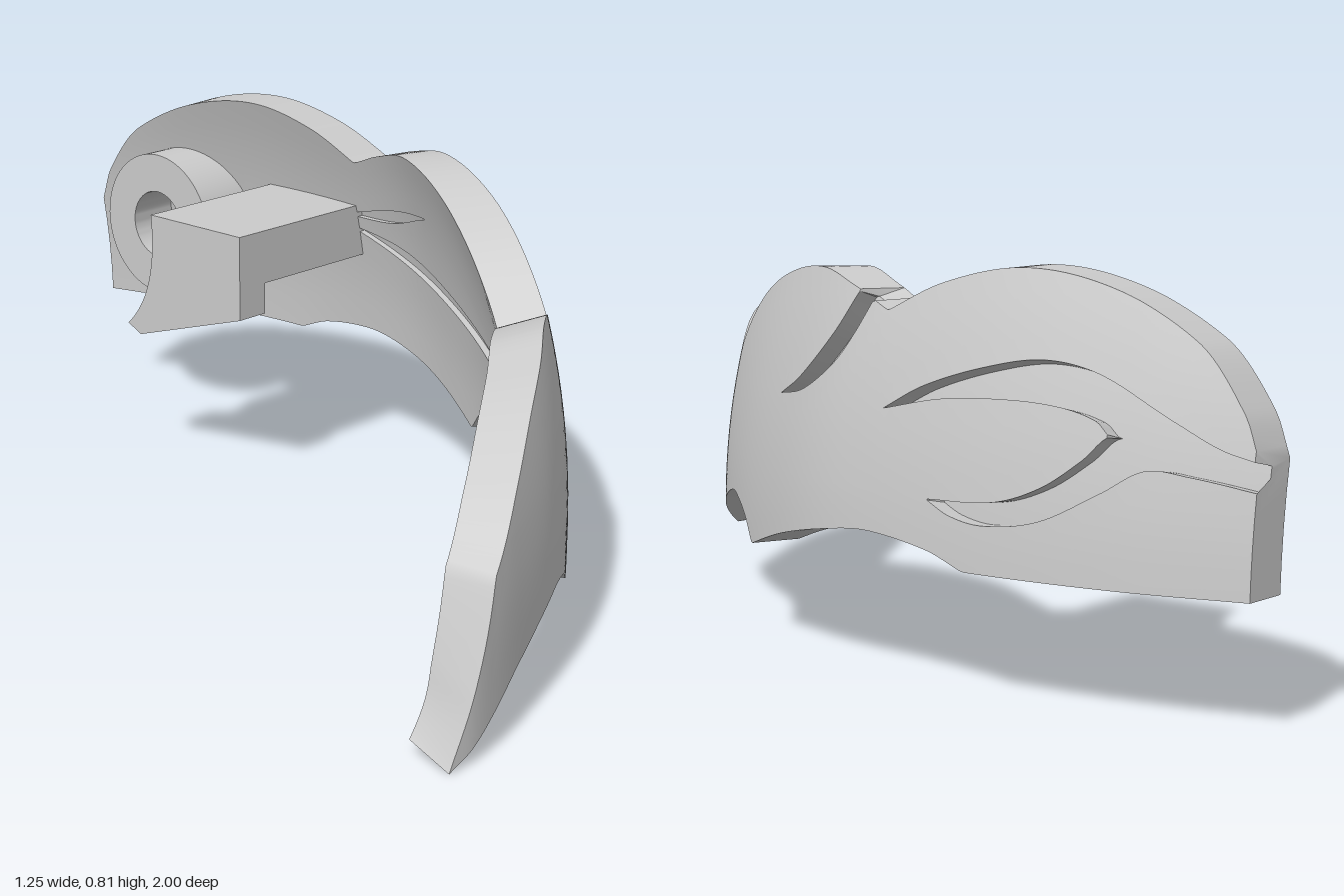
import * as THREE from 'three';
import { toCreasedNormals } from 'three/addons/utils/BufferGeometryUtils.js';

const THICK = 0.1, OUTER_CUT = 0.04, INNER_CUT = 0.015, COLS = 300, SUB = 4;
const material = new THREE.MeshStandardMaterial({ color: 0xcccccc });
const { clamp, lerp, smoothstep } = THREE.MathUtils;

// Smooth curve through [key, value] points, keys running downwards
function along(pts, key) {
  const k = clamp(key, pts[pts.length - 1][0], pts[0][0]);
  let i = 0;
  while (i < pts.length - 2 && k < pts[i + 1][0]) i++;
  const slope = (j) => {
    const a = pts[Math.max(j - 1, 0)], b = pts[Math.min(j + 1, pts.length - 1)];
    return (b[1] - a[1]) / (b[0] - a[0]);
  };
  const [x0, y0] = pts[i], [x1, y1] = pts[i + 1];
  const h = x1 - x0, t = (k - x0) / h, t2 = t * t, t3 = t2 * t;
  return (2 * t3 - 3 * t2 + 1) * y0 + (t3 - 2 * t2 + t) * h * slope(i)
    + (3 * t2 - 2 * t3) * y1 + (t3 - t2) * h * slope(i + 1);
}

// The arc that meets the key: separate arcs keep the corners between them sharp
const scallop = (arcs, key) => along(arcs.find((a) => key >= a[a.length - 1][0]) || arcs[arcs.length - 1], key);

// Sweep of the plate seen from above: [x, z]
const plan = new THREE.CatmullRomCurve3([
  [-0.63, 0.995], [-0.57, 1], [-0.5, 0.99], [-0.4, 0.962], [-0.2, 0.885], [-0.025, 0.78], [0.19, 0.605], [0.37, 0.39],
  [0.49, 0.19], [0.57, 0], [0.61, -0.2], [0.623, -0.45], [0.59, -0.75], [0.525, -1],
].map(([x, z]) => new THREE.Vector3(x, 0, z)));

// Scalloped edges, keyed by z - x along the sweep
const topArcs = [
  [[1.625, 0], [1.49, 0.33]],
  [[1.49, 0.33], [1.33, 0.455], [1.155, 0.555], [0.95, 0.608], [0.785, 0.628], [0.555, 0.603], [0.415, 0.555]],
  [[0.415, 0.555], [0.12, 0.69], [-0.15, 0.755], [-0.4, 0.775], [-0.63, 0.745], [-0.765, 0.71]],
  [[-0.765, 0.71], [-0.92, 0.77], [-1.12, 0.805], [-1.3, 0.775], [-1.43, 0.69], [-1.5, 0.57], [-1.525, 0.49]],
];
const bottomArcs = [
  [[1.625, 0], [1.5, 0.068], [1.365, 0.122], [1.085, 0.18], [0.925, 0.165], [0.805, 0.12]],
  [[0.805, 0.12], [0.555, 0.18], [0.29, 0.245], [0.11, 0.277], [0.02, 0.272], [-0.085, 0.245], [-0.165, 0.195]],
  [[-0.165, 0.195], [-0.43, 0.25], [-0.695, 0.29], [-0.81, 0.297], [-0.97, 0.28], [-1.06, 0.25]],
  [[-1.06, 0.25], [-1.525, 0.25]],
];

// Leaf-shaped grooves, keyed by z: lower and upper edge
const sideLeaf = {
  lo: [[0.18, 0.52], [0.08, 0.54], [-0.02, 0.6], [-0.07, 0.66], [-0.12, 0.75]],
  hi: [[0.18, 0.52], [0.1, 0.565], [0, 0.66], [-0.07, 0.76], [-0.12, 0.78]],
};
const upperLeaf = {
  lo: [[-0.2, 0.53], [-0.35, 0.56], [-0.5, 0.57], [-0.62, 0.565], [-0.7, 0.545], [-0.73, 0.52], [-0.8, 0.5], [-1, 0.465]],
  hi: [[-0.2, 0.53], [-0.3, 0.58], [-0.45, 0.625], [-0.58, 0.645], [-0.7, 0.625], [-0.85, 0.55], [-0.93, 0.51], [-1, 0.49]],
};
const lowerLeaf = {
  lo: [[-0.34, 0.375], [-0.4, 0.35], [-0.48, 0.34], [-0.6, 0.36], [-0.72, 0.42], [-0.8, 0.465], [-0.88, 0.46], [-1, 0.44]],
  hi: [[-0.34, 0.375], [-0.5, 0.385], [-0.6, 0.42], [-0.68, 0.475], [-0.73, 0.52], [-0.8, 0.5], [-1, 0.465]],
};
const thinLeaf = (pts, width) => ({
  lo: pts,
  hi: pts.map(([k, y], i) => [k, y + (i > 0 && i < pts.length - 1 ? width : 0)]),
});
// Closed stretch that leads from one leaf to the next
const bridge = (...pts) => ({ lo: pts, hi: pts });
const outerBands = [[lowerLeaf], [sideLeaf, bridge([-0.12, 0.75], [-0.2, 0.53]), upperLeaf]];
const innerBands = [
  [thinLeaf([[0.8, 0.35], [0.5, 0.39], [0.3, 0.425], [0, 0.49], [-0.25, 0.55]], 0.035)],
  [
    thinLeaf([[0.68, 0.51], [0.57, 0.485], [0.46, 0.45]], 0.03),
    bridge([0.46, 0.45], [0.15, 0.64]),
    thinLeaf([[0.15, 0.64], [-0.05, 0.585], [-0.25, 0.57]], 0.03),
  ],
];

function bandAt(leaves, z) {
  const gap = ({ lo }) => Math.max(z - lo[0][0], lo[lo.length - 1][0] - z, 0);
  const leaf = leaves.reduce((a, b) => (gap(b) < gap(a) ? b : a));
  return [along(leaf.lo, z), along(leaf.hi, z)];
}

// Rows [y, depth] up one face of the plate, doubled at each groove wall
function faceRows(bands, z, b, t, cut) {
  const stops = [b];
  for (const band of bands) for (const y of bandAt(band, z)) stops.push(clamp(y, stops[stops.length - 1], t));
  stops.push(t);
  const open = (i) => stops[i + 1] - stops[i] > 0.002;
  const joined = open(1) && open(3) && !open(2);
  const notched = open(3) && !open(4);
  const depth = [0, open(1) ? cut : 0, joined ? cut : 0, open(3) ? cut : 0, notched ? cut : 0];
  const rows = [];
  for (let s = 0; s < 5; s++) {
    for (let j = 0; j <= SUB; j++) rows.push([lerp(stops[s], stops[s + 1], j / SUB), depth[s]]);
  }
  return rows;
}

// Inward lean of the plate with height
const lean = (y) => 0.115 * (Math.max(y - 0.2, 0) / 0.6) ** 2;

function plateGeometry() {
  const loops = [];
  for (let i = 0; i <= COLS; i++) {
    const p = plan.getPointAt(i / COLS), tan = plan.getTangentAt(i / COLS);
    const key = p.z - p.x;
    const b = scallop(bottomArcs, key), t = Math.max(scallop(topArcs, key), b);
    // The rear end is cut square; the inner face narrows towards the front
    const tx = tan.x * smoothstep(key, -1.52, -1.2);
    const narrow = 0.1 * smoothstep(key, -0.5, 0.6);
    const place = (y, inset, drop) =>
      new THREE.Vector3(p.x + tan.z * (lean(y) + inset), y - drop, p.z - tx * (lean(y) + inset));
    const outer = faceRows(outerBands, p.z, b, t, OUTER_CUT)
      .map(([y, d]) => place(y, d, d * 0.64 * Math.max(y - 0.2, 0)));
    const inner = faceRows(innerBands, p.z, b, t, INNER_CUT)
      .map(([y, d]) => place(y, THICK - d, narrow * (y - 0.3)));
    loops.push([...outer, ...inner.reverse()]);
  }
  const pos = [], ab = new THREE.Vector3(), ac = new THREE.Vector3();
  const tri = (a, b, c) => {
    if (ab.subVectors(b, a).cross(ac.subVectors(c, a)).length() < 1e-9) return;
    pos.push(...a.toArray(), ...b.toArray(), ...c.toArray());
  };
  const quad = (a, b, c, d) => { tri(a, b, c); tri(a, c, d); };
  const n = loops[0].length;
  for (let i = 0; i < COLS; i++) {
    for (let j = 0; j < n; j++) {
      const k = (j + 1) % n;
      quad(loops[i][j], loops[i + 1][j], loops[i + 1][k], loops[i][k]);
    }
  }
  // Flat rear end
  const end = loops[COLS];
  for (let j = 0; j < n / 2 - 1; j++) quad(end[j], end[n - 1 - j], end[n - 2 - j], end[j + 1]);
  const g = new THREE.BufferGeometry();
  g.setAttribute('position', new THREE.Float32BufferAttribute(pos, 3));
  return toCreasedNormals(g, 0.5);
}

// Profile drawn in (-z, y), extruded along +x
function extrudeX(shape, length) {
  const g = new THREE.ExtrudeGeometry(shape, { depth: length, bevelEnabled: false, curveSegments: 32 });
  return toCreasedNormals(g.rotateY(Math.PI / 2), 0.5);
}

export function createModel() {
  const group = new THREE.Group();
  const add = (name, geometry, x = 0, y = 0, z = 0) => {
    const mesh = new THREE.Mesh(geometry, material);
    mesh.name = name;
    mesh.position.set(x, y, z);
    group.add(mesh);
  };

  add('curvedPlate', plateGeometry());

  // Pivot ring on the inner face
  const ring = new THREE.Shape().absarc(0, 0, 0.17, 0, Math.PI * 2);
  ring.holes.push(new THREE.Path().absarc(0, 0, 0.08, 0, Math.PI * 2, true));
  add('pivotRing', extrudeX(ring, 0.14), 0.33, 0.485, -0.73);

  // Arm reaching inwards, ending in a hooked block
  add('mountArm', new THREE.BoxGeometry(0.34, 0.12, 0.28), 0.32, 0.54, -0.35);
  const hook = new THREE.Shape();
  hook.moveTo(0.21, 0.6);
  hook.lineTo(0.21, 0.41);
  hook.lineTo(0.53, 0.31);
  hook.lineTo(0.57, 0.33);
  hook.quadraticCurveTo(0.47, 0.42, 0.49, 0.6);
  hook.closePath();
  add('hookBlock', extrudeX(hook, 0.08), 0.08);

  return group;
}
